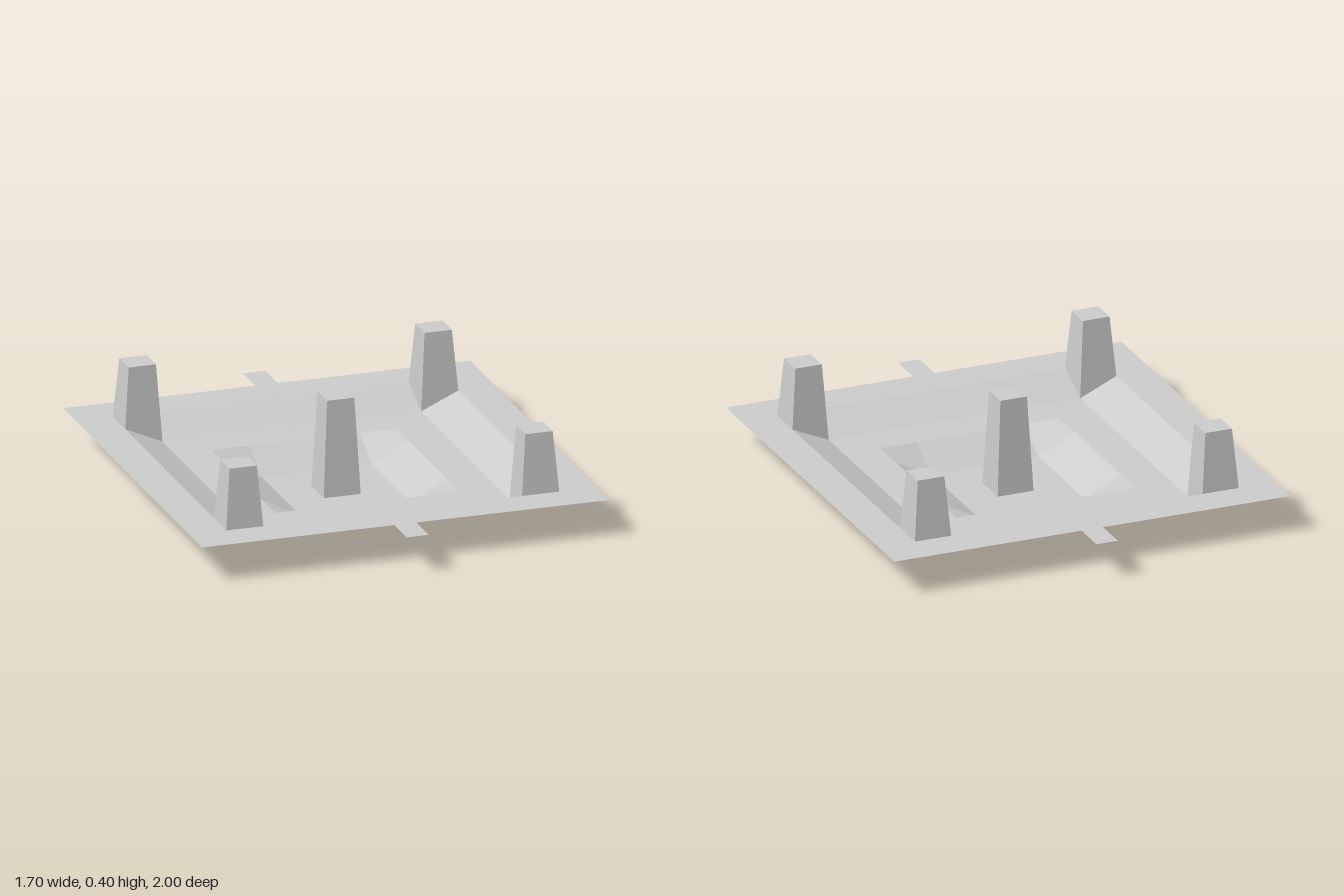
import * as THREE from 'three';

const material = new THREE.MeshStandardMaterial({ color: 0xcccccc, side: THREE.DoubleSide });

// Grid lines of the stepped tray, and the height of each ring around the centre
const RINGS = [0.077, 0.23, 0.385, 0.54, 0.695, 0.85];
const HEIGHTS = [0, 0, 0.08, 0.08, 0.15, 0.15];
const LINES = [...RINGS.map((r) => -r).reverse(), ...RINGS];
const TOP = 0.4;

function heightAt(x, z) {
  return HEIGHTS[RINGS.indexOf(Math.max(Math.abs(x), Math.abs(z)))];
}

const point = (x, z) => new THREE.Vector3(x, heightAt(x, z), z);

// Mesh from four-cornered faces, each with one flat normal
function quadMesh(name, quads) {
  const positions = [];
  const normals = [];
  for (const [a, b, c, d] of quads) {
    const normal = c.clone().sub(a).cross(d.clone().sub(b)).normalize();
    for (const v of [a, b, c, a, c, d]) {
      positions.push(v.x, v.y, v.z);
      normals.push(normal.x, normal.y, normal.z);
    }
  }
  const geometry = new THREE.BufferGeometry();
  geometry.setAttribute('position', new THREE.Float32BufferAttribute(positions, 3));
  geometry.setAttribute('normal', new THREE.Float32BufferAttribute(normals, 3));
  const mesh = new THREE.Mesh(geometry, material);
  mesh.name = name;
  return mesh;
}

// Corners of one grid cell, counter-clockwise from above
function cell(i, j) {
  const [x0, x1, z0, z1] = [LINES[i], LINES[i + 1], LINES[j], LINES[j + 1]];
  return [point(x0, z0), point(x0, z1), point(x1, z1), point(x1, z0)];
}

// Open-bottomed tapering post rising from a grid cell
function post(name, base) {
  const cx = (base[0].x + base[2].x) / 2;
  const cz = (base[0].z + base[2].z) / 2;
  const top = base.map((p) => new THREE.Vector3(
    cx + Math.sign(p.x - cx) * 0.057, TOP, cz + Math.sign(p.z - cz) * 0.057));
  const quads = [top];
  for (let k = 0; k < 4; k++) {
    const n = (k + 1) % 4;
    quads.push([base[k], base[n], top[n], top[k]]);
  }
  return quadMesh(name, quads);
}

export function createModel() {
  const model = new THREE.Group();
  model.name = 'steppedTray';

  // Tray sheet, left open beneath the five posts
  const sheet = [];
  const last = LINES.length - 2;
  const isCorner = (k) => k === 1 || k === last - 1;
  for (let i = 0; i <= last; i++) {
    for (let j = 0; j <= last; j++) {
      const quad = cell(i, j);
      if (isCorner(i) && isCorner(j)) {
        model.add(post('cornerPost', quad));
      } else if (i === last / 2 && j === last / 2) {
        model.add(post('centrePost', quad));
      } else {
        // Fold corner cells along the line running out from the centre
        const outward = (i - last / 2) * (j - last / 2) >= 0;
        sheet.push(outward ? quad : [quad[1], quad[2], quad[3], quad[0]]);
      }
    }
  }
  model.add(quadMesh('traySheet', sheet));

  // Flat tabs at front and back
  for (const side of [1, -1]) {
    const tab = new THREE.Mesh(new THREE.PlaneGeometry(0.092, 0.15).rotateX(-Math.PI / 2), material);
    tab.name = side > 0 ? 'frontTab' : 'backTab';
    tab.position.set(0, 0.15, side * 0.925);
    model.add(tab);
  }
  return model;
}
